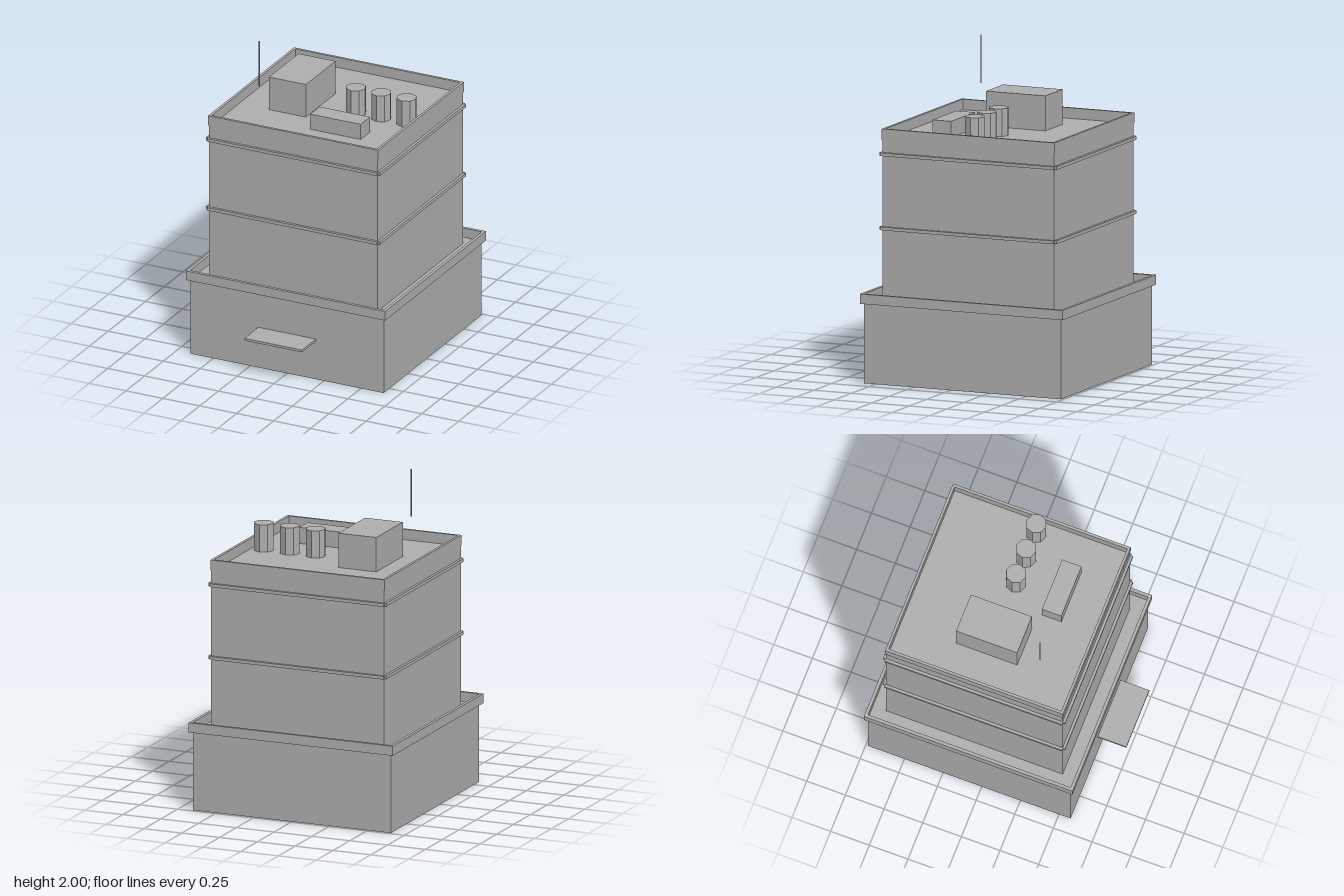
import * as THREE from 'three';

const CZ = -0.08; // depth centre of the building body

export function createModel() {
  const model = new THREE.Group();
  const grey = new THREE.MeshStandardMaterial({ color: 0xb0b0b0, side: THREE.DoubleSide });
  grey.name = 'concreteGrey';

  const add = (name, geometry, x = 0, y = 0, z = 0) => {
    const mesh = new THREE.Mesh(geometry, grey);
    mesh.name = name;
    mesh.position.set(x, y, z);
    model.add(mesh);
    return mesh;
  };

  // Box given by its extents
  const box = (name, x0, x1, y0, y1, z0, z1) =>
    add(name, new THREE.BoxGeometry(x1 - x0, y1 - y0, z1 - z0),
      (x0 + x1) / 2, (y0 + y1) / 2, (z0 + z1) / 2);

  // Square block without its bottom face
  const openBlock = (name, half, y0, y1) => {
    const mesh = add(name, new THREE.BoxGeometry(half * 2, y1 - y0, half * 2), 0, (y0 + y1) / 2, CZ);
    const index = Array.from(mesh.geometry.index.array);
    index.splice(18, 6);
    mesh.geometry.setIndex(index);
    mesh.geometry.clearGroups();
  };

  // Square ring wall
  const square = (path, h) =>
    path.moveTo(-h, -h).lineTo(h, -h).lineTo(h, h).lineTo(-h, h).closePath();
  const parapet = (name, outer, inner, y0, y1) => {
    const shape = square(new THREE.Shape(), outer);
    shape.holes.push(square(new THREE.Path(), inner));
    const ring = new THREE.ExtrudeGeometry(shape, { depth: y1 - y0, bevelEnabled: false });
    ring.rotateX(-Math.PI / 2);
    add(name, ring, 0, y0, CZ);
  };

  // Podium, hollow from below, with its terrace parapet
  openBlock('podium', 0.655, 0, 0.49);
  parapet('podiumParapet', 0.675, 0.655, 0.49, 0.55);

  // Tower and roof parapet
  openBlock('tower', 0.572, 0.49, 1.49);
  parapet('roofParapet', 0.575, 0.558, 1.49, 1.555);

  // Ledge strips on all four tower faces, leaving the corners open
  for (const y of [0.945, 1.4]) {
    for (let i = 0; i < 4; i++) {
      const a = (i * Math.PI) / 2;
      const strip = add('ledgeStrip', new THREE.BoxGeometry(1.15, 0.02, 0.02),
        Math.sin(a) * 0.579, y, CZ + Math.cos(a) * 0.579);
      strip.rotation.y = a;
    }
  }

  // Entrance canopy
  box('entranceCanopy', -0.195, 0.195, 0.25, 0.265, 0.575, 0.76);

  // Rooftop equipment
  box('stairHouse', -0.355, -0.105, 1.49, 1.705, -0.28, 0.115);
  box('ventilationUnit', 0, 0.342, 1.49, 1.59, 0.14, 0.265);
  for (const x of [0.135, 0.306, 0.478]) {
    add('coolingDrum', new THREE.CylinderGeometry(0.063, 0.063, 0.17, 8).toNonIndexed(), x, 1.575, CZ)
      .geometry.computeVertexNormals();
  }
  add('antenna', new THREE.CylinderGeometry(0.004, 0.004, 0.295, 6), -0.347, 1.8525, 0.26);

  return model;
}
